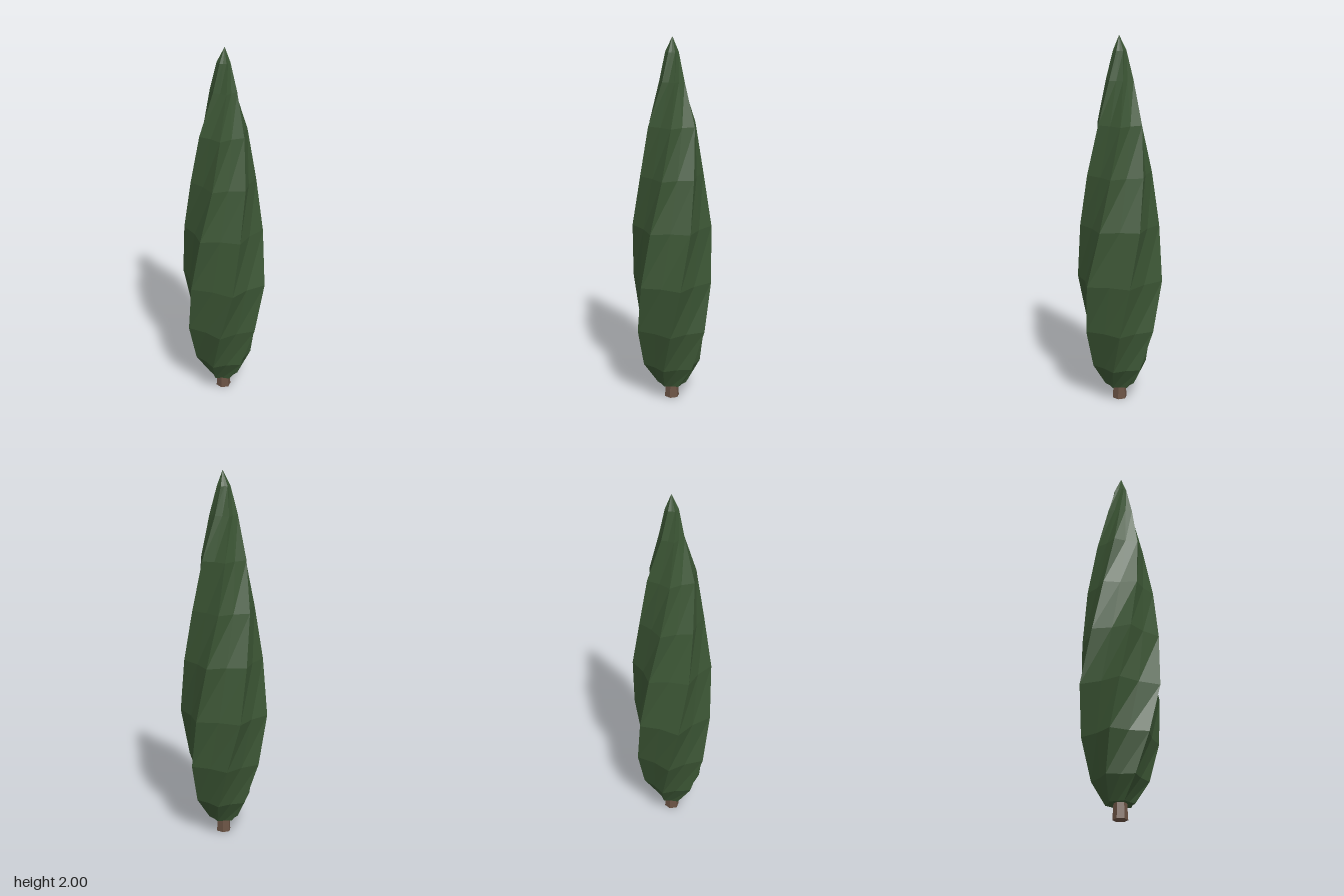
import * as THREE from 'three';

const LOBES = 6;
const SIDES = LOBES * 2;

// Foliage rings from bottom to top: height, lobe radius, x stretch, z stretch
const RINGS = [
  [0.08, 0.078, 1, 1],
  [0.20, 0.158, 1, 0.94],
  [0.42, 0.208, 1, 1],
  [0.69, 0.232, 0.95, 1.04],
  [0.99, 0.211, 1, 1],
  [1.27, 0.178, 0.96, 1],
  [1.54, 0.140, 1, 0.93],
  [1.77, 0.076, 0.9, 1],
  [1.92, 0.035, 1, 1],
];
const VALLEY = 0.8; // valley radius relative to lobe radius
const TWIST = THREE.MathUtils.degToRad(15); // turn from one ring to the next
const START = THREE.MathUtils.degToRad(55);

function createFoliageGeometry() {
  const positions = [];
  const index = [];

  RINGS.forEach(([y, radius, sx, sz], i) => {
    for (let j = 0; j < SIDES; j++) {
      const angle = START - i * TWIST + (j / SIDES) * Math.PI * 2;
      const r = radius * (j % 2 ? VALLEY : 1);
      positions.push(Math.cos(angle) * r * sx, y, Math.sin(angle) * r * sz);
    }
  });
  const bottom = positions.length / 3;
  positions.push(0, 0.09, 0);
  const tip = bottom + 1;
  positions.push(0.003, 2, 0.005);

  const last = (RINGS.length - 1) * SIDES;
  for (let j = 0; j < SIDES; j++) {
    const k = (j + 1) % SIDES;
    // Spiralling walls
    for (let i = 0; i < RINGS.length - 1; i++) {
      const a = i * SIDES + j;
      const b = i * SIDES + k;
      index.push(b, a, a + SIDES, b, a + SIDES, b + SIDES);
    }
    // Underside and pointed top
    index.push(bottom, j, k);
    index.push(last + k, last + j, tip);
  }

  const geometry = new THREE.BufferGeometry();
  geometry.setAttribute('position', new THREE.Float32BufferAttribute(positions, 3));
  geometry.setIndex(index);
  const flat = geometry.toNonIndexed();
  flat.computeVertexNormals();
  return flat;
}

export function createModel() {
  const tree = new THREE.Group();
  tree.name = 'cypressTree';

  // Twisted, lobed foliage
  const foliage = new THREE.Mesh(
    createFoliageGeometry(),
    new THREE.MeshStandardMaterial({ color: 0x3b5534, flatShading: true })
  );
  foliage.name = 'foliage';

  // Short six-sided trunk
  const trunkGeometry = new THREE.CylinderGeometry(0.033, 0.04, 0.12, 6);
  trunkGeometry.rotateY(Math.PI / 6);
  trunkGeometry.rotateY(Math.PI / 3 + 0.4);
  trunkGeometry.translate(0, 0.06, 0);
  const trunk = new THREE.Mesh(
    trunkGeometry,
    new THREE.MeshStandardMaterial({ color: 0x6b5344, flatShading: true })
  );
  trunk.name = 'trunk';

  tree.add(foliage, trunk);
  return tree;
}
